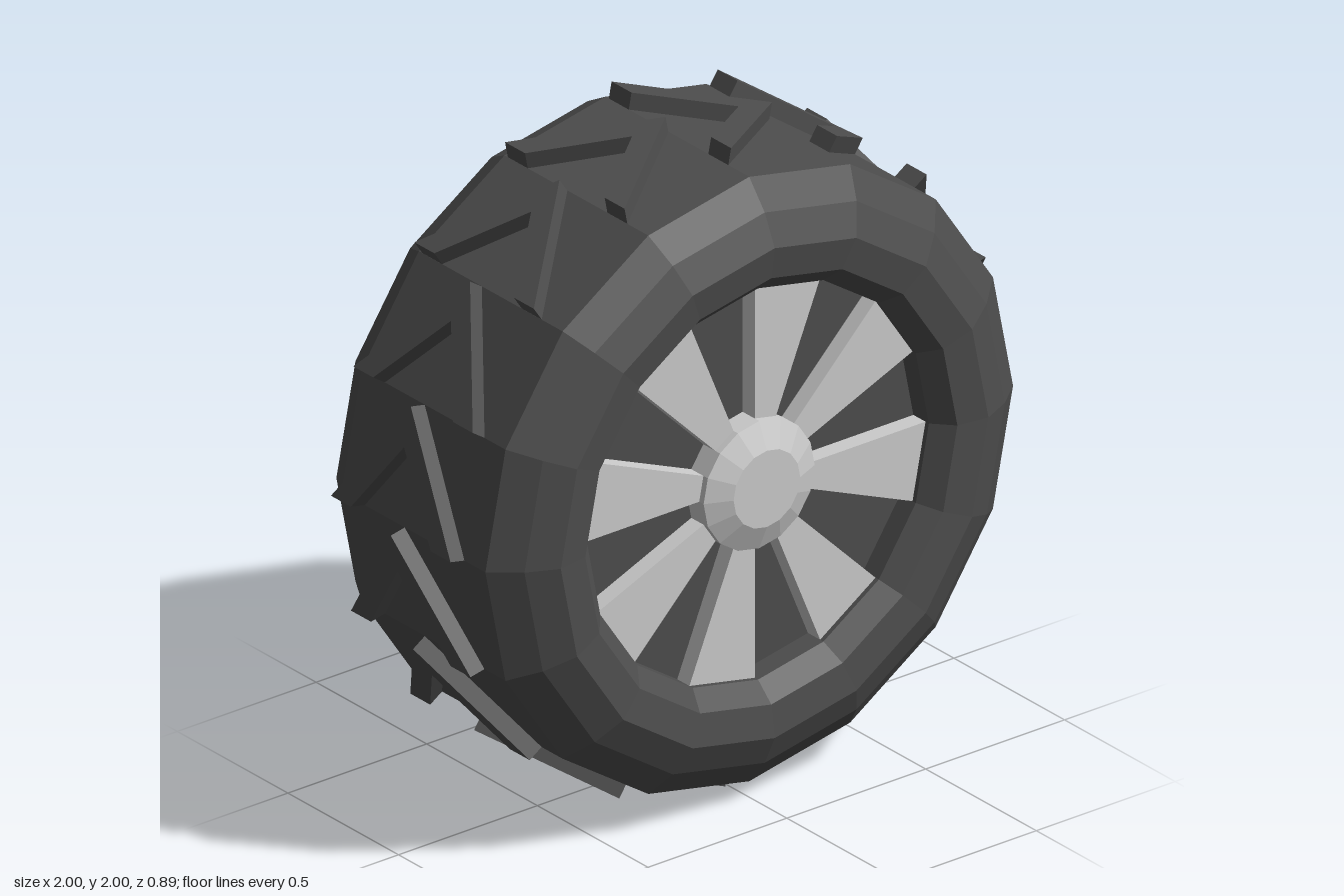
import * as THREE from 'three';

const SIDES = 16;
const STEP = (Math.PI * 2) / SIDES;

const rubber = new THREE.MeshStandardMaterial({ color: 0x4d4d4d, flatShading: true });
const metal = new THREE.MeshStandardMaterial({ color: 0xcccccc, flatShading: true });

function addMesh(parent, name, geometry, material) {
  const mesh = new THREE.Mesh(geometry, material);
  mesh.name = name;
  parent.add(mesh);
  return mesh;
}

// Faceted solid of revolution around the z axle; profile is [radius, z] from back to front
function turned(profile) {
  const points = profile.map(([r, z]) => new THREE.Vector2(r, z));
  return new THREE.LatheGeometry(points, SIDES).rotateX(Math.PI / 2);
}

function extrudeShape(points, depth) {
  const shape = new THREE.Shape(points.map(([x, y]) => new THREE.Vector2(x, y)));
  return new THREE.ExtrudeGeometry(shape, { depth, bevelEnabled: false });
}

export function createModel() {
  const wheel = new THREE.Group();
  wheel.name = 'wheel';
  wheel.position.y = 1;

  // Tyre with a closed flat back and a recessed dark rim disc at the front
  addMesh(wheel, 'tyre', turned([
    [0, -0.448], [0.79, -0.448], [0.905, -0.4], [0.95, -0.32],
    [0.95, 0.33], [0.865, 0.4], [0.77, 0.445], [0.67, 0.43],
    [0.615, 0.37], [0.615, 0.3], [0, 0.3],
  ]), rubber);

  // One V-shaped tread block per flat facet, pointing clockwise
  const treads = new THREE.Group();
  treads.name = 'treads';
  wheel.add(treads);
  const h = 0.185, w = 0.27;
  const chevron = extrudeShape([
    [-h, -w], [h, 0], [-h, w], [-h, w - 0.09], [h - 0.123, 0], [-h, -w + 0.09],
  ], 0.083);
  chevron.translate(0, 0, 0.9).rotateX(-Math.PI / 2).translate(0, 0, -0.035);
  for (let i = 0; i < SIDES; i++) {
    addMesh(treads, 'treadBlock', chevron, rubber).rotation.z = (i + 0.5) * STEP;
  }

  // Eight wedge spokes filling every other rim facet
  const spokes = new THREE.Group();
  spokes.name = 'spokes';
  wheel.add(spokes);
  const ray = (r, a) => [r * Math.cos(a), r * Math.sin(a)];
  const wedge = extrudeShape([
    ray(0.12, STEP), ray(0.615, STEP), ray(0.615, 2 * STEP), ray(0.12, 2 * STEP),
  ], 0.06).translate(0, 0, 0.295);
  for (let i = 0; i < SIDES / 2; i++) {
    addMesh(spokes, 'spoke', wedge, metal).rotation.z = i * 2 * STEP;
  }

  // Chamfered hub cap
  addMesh(wheel, 'hub', turned([
    [0, 0.29], [0.2, 0.29], [0.2, 0.375], [0.12, 0.41], [0, 0.41],
  ]), metal);

  const model = new THREE.Group();
  model.name = 'wheelModel';
  model.add(wheel);
  return model;
}
